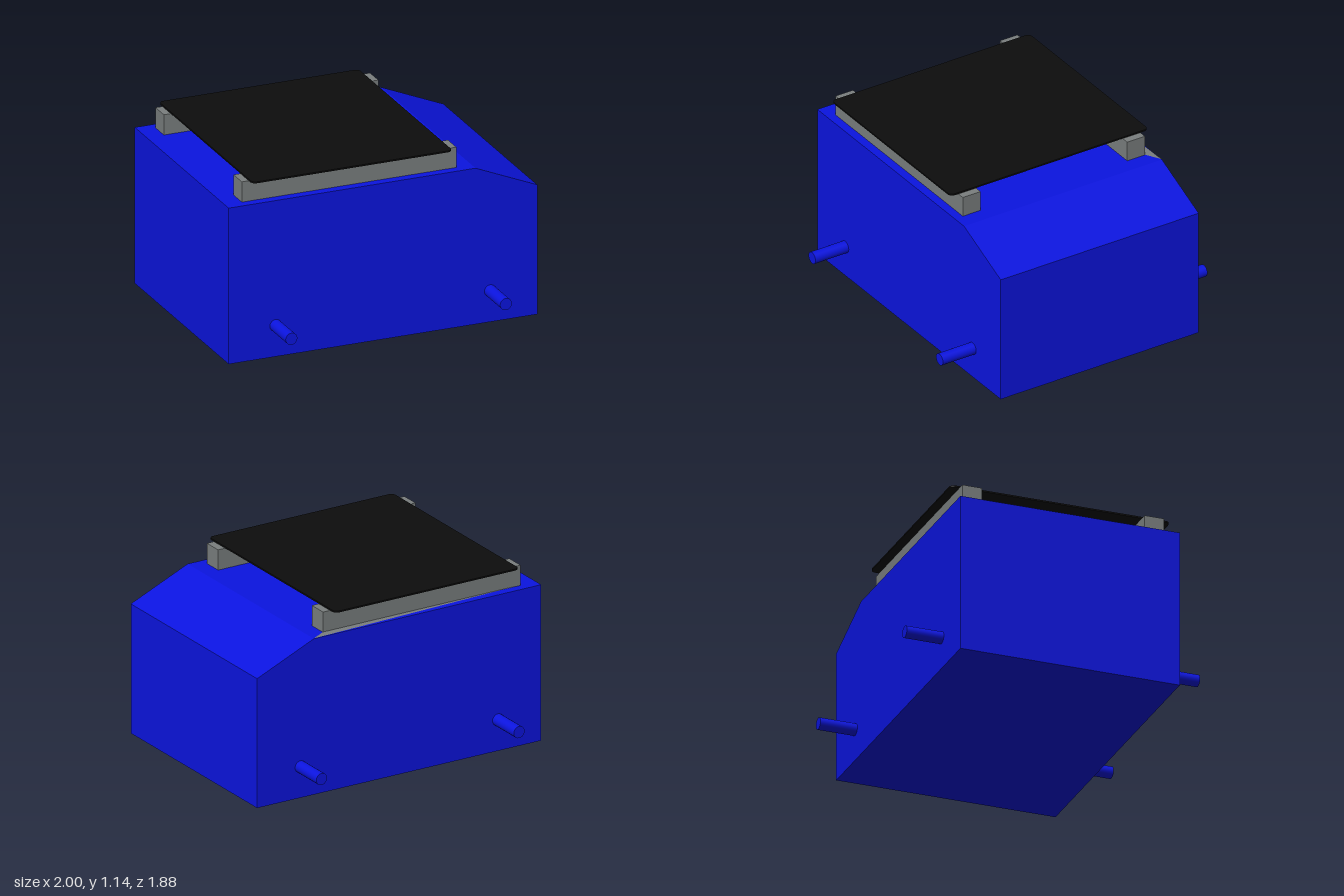
import * as THREE from 'three';

const material = (color) => new THREE.MeshStandardMaterial({ color });

export function createModel() {
  const model = new THREE.Group();
  const blue = material(0x0b14e0);
  const grey = material(0x7a7f7f);
  const black = material(0x0d0d0d);

  const add = (name, geometry, mat, x = 0, y = 0, z = 0) => {
    const mesh = new THREE.Mesh(geometry, mat);
    mesh.name = name;
    mesh.position.set(x, y, z);
    model.add(mesh);
    return mesh;
  };

  // Solid body with one sloped top edge, extruded across its depth
  const profile = new THREE.Shape([
    [-1, 0], [1, 0], [1, 0.83], [0.6, 1], [-1, 1],
  ].map(([x, y]) => new THREE.Vector2(x, y)));
  add('body', new THREE.ExtrudeGeometry(profile, { depth: 1.404, bevelEnabled: false }), blue, 0, 0, -0.702);

  // Two axles running through the body
  for (const side of [-1, 1]) {
    const axle = new THREE.CylinderGeometry(0.038, 0.038, 1.876, 20).rotateX(Math.PI / 2);
    add(side < 0 ? 'rightAxle' : 'leftAxle', axle, blue, side * 0.695, 0.2, 0);
  }

  // Rails that carry the panel
  for (const side of [-1, 1]) {
    add(side < 0 ? 'backRail' : 'frontRail', new THREE.BoxGeometry(1.39, 0.13, 0.125), grey, -0.195, 1.065, side * 0.583);
  }

  // Thin flat sliver beside the back rail
  const sliver = new THREE.Shape([
    new THREE.Vector2(0.6, 0.702), new THREE.Vector2(-0.89, 0.645), new THREE.Vector2(0.5, 0.645),
  ]);
  const sliverMat = grey.clone();
  sliverMat.side = THREE.DoubleSide;
  add('railFillet', new THREE.ShapeGeometry(sliver).rotateX(-Math.PI / 2), sliverMat, 0, 1.002, 0);

  // Thin top panel with rounded corners
  const w = 0.648, d = 0.702, r = 0.03;
  const outline = new THREE.Shape();
  outline.absarc(w - r, d - r, r, 0, Math.PI / 2);
  outline.absarc(-w + r, d - r, r, Math.PI / 2, Math.PI);
  outline.absarc(-w + r, -d + r, r, Math.PI, Math.PI * 1.5);
  outline.absarc(w - r, -d + r, r, Math.PI * 1.5, Math.PI * 2);
  const panel = new THREE.ExtrudeGeometry(outline, { depth: 0.01, bevelEnabled: false, curveSegments: 6 });
  add('topPanel', panel.rotateX(-Math.PI / 2), black, -0.197, 1.13, 0);

  return model;
}
